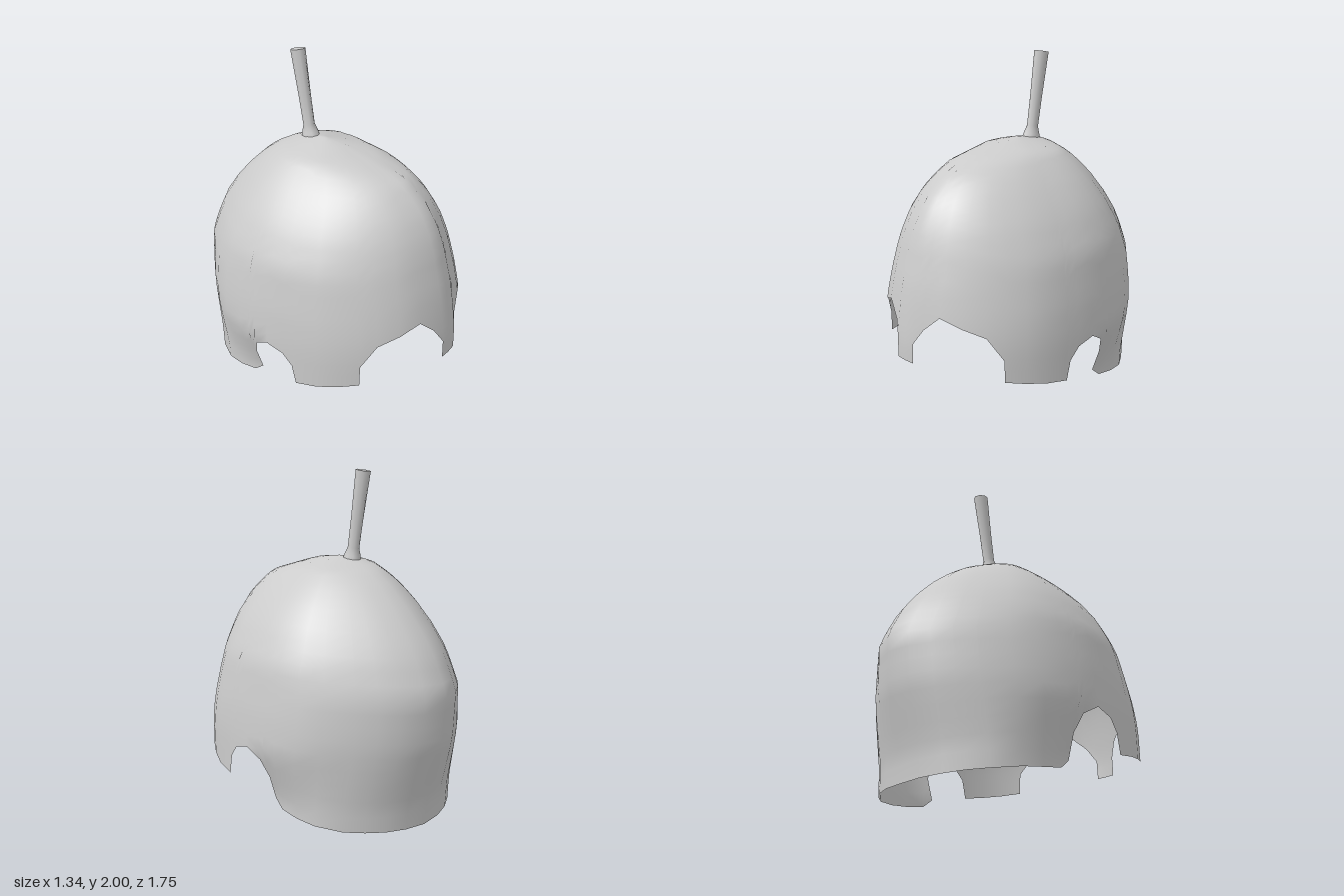
import * as THREE from 'three';

// Shell profile by height: [y, half width, front z, back z]
const PROFILE = [
  [0, 0.67, 0.88, -0.74], [0.15, 0.67, 0.88, -0.75], [0.43, 0.67, 0.88, -0.83],
  [0.5, 0.667, 0.875, -0.85], [0.65, 0.655, 0.855, -0.862], [0.79, 0.633, 0.83, -0.875],
  [0.92, 0.612, 0.795, -0.815], [1.0, 0.575, 0.775, -0.775], [1.12, 0.515, 0.73, -0.685],
  [1.235, 0.432, 0.66, -0.58], [1.32, 0.355, 0.57, -0.485], [1.385, 0.285, 0.485, -0.4],
  [1.46, 0.19, 0.2, -0.26], [1.482, 0.1, 0.11, -0.19], [1.495, 0, -0.04, -0.04],
];
const TOP = 1.495;

// How far the plan departs from an ellipse: [degrees from the front, scale]
const PLAN = [
  [0, 1], [5.6, 1], [10.5, 0.98], [19.2, 0.99], [42, 1], [66, 1.01], [76, 0.992], [90, 1],
  [114, 1.015], [137, 0.965], [157, 0.968], [180, 1],
];

// Lower rim of the left half: [degrees from the front, y]
const RIM = [
  [0, 0.345], [5.5, 0.345], [5.6, 0.46], [10.5, 0.55], [19.2, 0.637], [30, 0.59], [41, 0.542],
  [48.4, 0.41], [48.6, 0.28], [57.5, 0.257], [66.5, 0.235], [75.5, 0.212], [77.2, 0.33],
  [81.3, 0.4], [88.7, 0.432], [95.4, 0.375], [98.4, 0.27], [98.6, 0.13], [103.3, 0.08],
  [113, 0.06], [123.5, 0.045], [137, 0.027], [147, 0.02], [157, 0.012], [168, 0.006], [180, 0],
];

const clamp01 = (v) => Math.min(1, Math.max(0, v));

// Linear lookup in a table sorted by its first column
function lookup(table, key) {
  let i = 0;
  while (i < table.length - 2 && key > table[i + 1][0]) i++;
  const a = table[i], b = table[i + 1];
  const t = clamp01((key - a[0]) / (b[0] - a[0]));
  return a.map((v, k) => v + (b[k] - v) * t);
}

// Point on the shell: two half ellipses meeting at the widest line
function shellPoint(degrees, y) {
  const [, width, front, back] = lookup(PROFILE, y);
  const centre = 0.02 - 0.06 * clamp01((y - 0.9) / (TOP - 0.9));
  const phi = THREE.MathUtils.degToRad(degrees);
  const turn = 180 - Math.abs(180 - Math.abs(degrees));
  const rear = turn > 90;
  // the neck guard pinches in behind the ears
  const pinch = rear ? 0.1 * clamp01((0.43 - y) / 0.3) * clamp01((130 - turn) / 32) : 0;
  // the dome is leaner on the diagonals at mid height
  const lean = clamp01((y - 0.55) / 0.35) * clamp01((1.42 - y) / 0.22);
  const plan = 1 + (lookup(PLAN, turn)[1] - 1) * (rear ? clamp01((y - 0.1) / 0.4) : 1);
  const scale = plan - 0.027 * lean * Math.sin(2 * phi) ** 2;
  const depth = rear ? centre - back : front - centre;
  return new THREE.Vector3(
    (width - pinch) * scale * Math.sin(phi), y, centre + depth * scale * Math.cos(phi));
}

// Smooth normal from the slopes around and up the shell
function shellNormal(degrees, y) {
  if (y > TOP - 0.001) return new THREE.Vector3(0, 1, 0);
  const around = shellPoint(degrees + 7, y).sub(shellPoint(degrees - 7, y));
  const up = shellPoint(degrees, Math.min(TOP, y + 0.06)).sub(shellPoint(degrees, y - 0.06));
  return around.cross(up).normalize();
}

function shellGeometry() {
  const mirrored = RIM.slice(1, -1).reverse().map(([d, y]) => [-d, y]);
  const columns = [...RIM, ...mirrored];
  const rows = 26, positions = [], normals = [], index = [];
  columns.forEach(([degrees, rim]) => {
    for (let j = 0; j <= rows; j++) {
      const y = rim + (TOP - rim) * Math.sin((j / rows) * Math.PI / 2);
      positions.push(...shellPoint(degrees, y));
      normals.push(...shellNormal(degrees, y));
    }
  });
  for (let i = 0; i < columns.length; i++) {
    const p = i * (rows + 1), q = ((i + 1) % columns.length) * (rows + 1);
    for (let j = 0; j < rows; j++) {
      index.push(p + j, q + j, q + j + 1);
      if (j < rows - 1) index.push(p + j, q + j + 1, p + j + 1);
    }
  }
  const geometry = new THREE.BufferGeometry();
  geometry.setAttribute('position', new THREE.Float32BufferAttribute(positions, 3));
  geometry.setAttribute('normal', new THREE.Float32BufferAttribute(normals, 3));
  geometry.setIndex(index);
  return geometry;
}

export function createModel() {
  const model = new THREE.Group();
  model.name = 'helmet';
  const material = new THREE.MeshStandardMaterial({ color: 0xcccccc, side: THREE.DoubleSide });

  // Thin open shell with eye openings, nose guard, cheek guards and neck guard
  const shell = new THREE.Mesh(shellGeometry(), material);
  shell.name = 'helmetShell';
  model.add(shell);

  // Flared plume holder leaning backwards
  const holder = new THREE.Group();
  holder.name = 'plumeHolder';
  holder.position.set(0, 1.473, -0.145);
  holder.rotation.x = -0.168;
  holder.scale.z = 1.18;
  const outline = [[0.05, 0], [0.044, 0.03], [0.031, 0.075], [0.033, 0.25], [0.04, 0.525]];
  const stem = new THREE.Mesh(
    new THREE.LatheGeometry(outline.map(([r, y]) => new THREE.Vector2(r, y)), 8), material);
  stem.name = 'plumeStem';
  const cap = new THREE.Mesh(new THREE.CircleGeometry(0.04, 8), material);
  cap.name = 'plumeStemCap';
  cap.rotation.x = -Math.PI / 2;
  cap.position.y = 0.525;
  holder.add(stem, cap);
  model.add(holder);

  return model;
}
